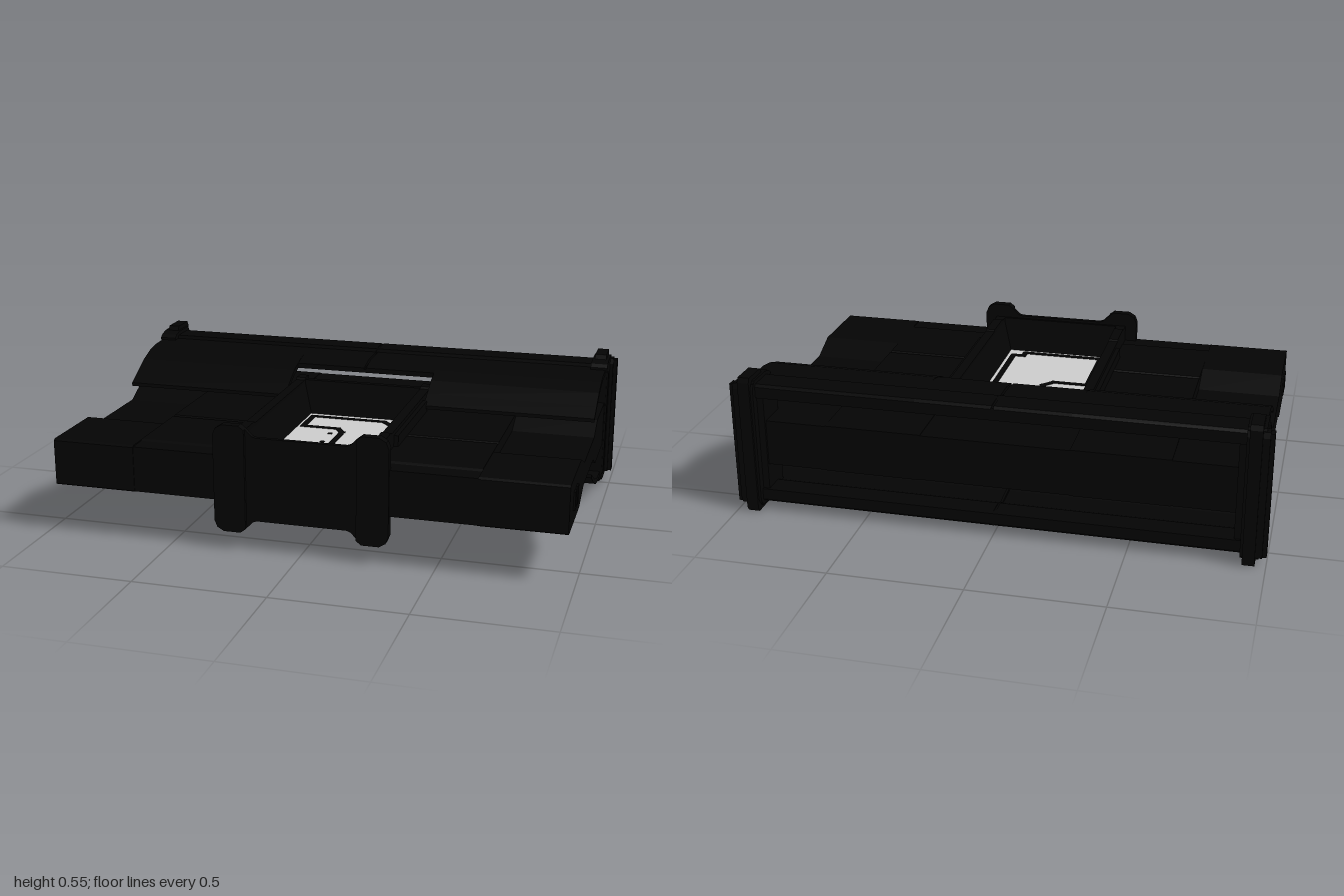
import * as THREE from 'three';

const MID = 0.275; // the model mirrors above and below this height

export function createModel() {
  const model = new THREE.Group();
  const black = new THREE.MeshStandardMaterial({ color: 0x040404, side: THREE.DoubleSide });
  black.name = 'black casing';
  const grey = new THREE.MeshStandardMaterial({ color: 0xcccccc });
  grey.name = 'light grey panel';

  const add = (name, geo, mat = black) => {
    const mesh = new THREE.Mesh(geo, mat);
    mesh.name = name;
    model.add(mesh);
    return mesh;
  };
  const box = (name, x0, x1, y0, y1, z0, z1, mat) =>
    add(name, new THREE.BoxGeometry(x1 - x0, y1 - y0, z1 - z0), mat)
      .position.set((x0 + x1) / 2, (y0 + y1) / 2, (z0 + z1) / 2);
  // Plate in the xy plane from an outline of [x, y] points
  const plate = (pts, depth) => new THREE.ExtrudeGeometry(
    new THREE.Shape(pts.map(p => new THREE.Vector2(...p))), { depth, bevelEnabled: false });
  // Prism along x from a profile of [z, y] points
  const prism = (name, pts, x0, x1) =>
    add(name, plate(pts, x1 - x0).rotateY(-Math.PI / 2)).position.x = x1;
  const same = pts => pts;
  const flip = pts => pts.map(([z, y]) => [z, 2 * MID - y]);
  const symmetric = half => [...half, ...flip(half).reverse()];
  // The same part on the left and right
  const sides = (a, b, make) => { make(a, b); make(-b, -a); };

  // Wings: thick front edge, waist, thick root running into the back
  const wing = symmetric([[0.615, 0.36], [0.605, 0.366], [0.32, 0.366], [0.21, 0.32], [-0.1, 0.32],
    [-0.19, 0.364], [-0.57, 0.364]]);
  const innerWing = symmetric([[0.612, 0.362], [0.535, 0.362], [0.525, 0.368], [0.225, 0.368],
    [0.215, 0.36], [0.205, 0.368], [-0.57, 0.366]]);
  sides(0.648, 0.968, (a, b) => prism('outerWing', wing, a, b));
  sides(0.28, 0.648, (a, b) => prism('innerWing', innerWing, a, b));
  sides(0.96, 0.975, (a, b) => {
    for (const z of [0.42, 0.48]) box('wingTipPin', a, b, 0.24, 0.31, z, z + 0.035);
  });

  // Central housing
  box('rearSlab', -0.28, 0.28, 0.186, 0.364, -0.57, -0.24);
  box('panelCore', -0.25, 0.25, MID - 0.012, MID + 0.012, -0.24, 0.58);
  const rail = symmetric([[0.618, 0.425], [0.535, 0.425], [0.53, 0.432], [0.4, 0.432], [0.395, 0.425],
    [-0.14, 0.425], [-0.22, 0.36]]);
  sides(0.245, 0.283, (a, b) => prism('housingRail', rail, a, b));
  sides(0.283, 0.3, (a, b) => box('railShoulder', a, b, 0.14, 0.41, -0.12, 0.36));
  // Back wall, clamps and sloped recess around the panel, above and below
  const clamp = [[-0.13, 0.425], [-0.23, 0.425], [-0.24, 0.433], [-0.285, 0.433], [-0.29, 0.428],
    [-0.29, 0.38], [-0.27, 0.37], [-0.13, 0.36]];
  const backWall = [[-0.24, 0.3], [-0.24, 0.425], [-0.265, 0.425], [-0.275, 0.36], [-0.275, 0.3]];
  for (const p of [same, flip]) {
    sides(0.245, 0.283, (a, b) => prism('housingClamp', p(clamp), a, b));
    prism('housingBackWall', p(backWall), -0.25, 0.25);
  }
  for (const s of [1, -1]) {
    const slope = new THREE.CylinderGeometry(1, 1, 1, 4, 1, true, Math.PI / 4).toNonIndexed();
    const pos = slope.attributes.position;
    for (let i = 0; i < pos.count; i++) {
      const outer = pos.getY(i) * s > 0;
      pos.setXYZ(i, Math.sign(pos.getX(i)) * (outer ? 0.248 : 0.21),
        MID + s * (outer ? 0.148 : 0.011),
        0.168 + Math.sign(pos.getZ(i)) * (outer ? 0.408 : 0.378));
    }
    slope.computeVertexNormals();
    add('panelRecess', slope);
  }
  // Front frame with four rounded lobes
  const half = [[0.17, 0.16], [0.185, 0.165], [0.21, 0.19], [0.23, 0.205], [0.295, 0.205],
    [0.32, 0.19], [0.33, 0.165]];
  const halfDown = half.map(([x, y]) => [x, -y]).reverse();
  const mirror = pts => pts.map(([x, y]) => [-x, y]);
  const frame = [...half, ...halfDown, ...mirror([...half, ...halfDown]).reverse()];
  add('frontFrame', plate(frame, 0.018)).position.set(0, MID, 0.587);
  const lobe = [...half.slice(2), ...halfDown.slice(0, -2)];
  for (const pts of [lobe, mirror(lobe)])
    add('frontLobe', plate(pts, 0.018)).position.set(0, MID, 0.602);
  box('frontBar', -0.25, 0.25, 0.125, 0.425, 0.576, 0.6);

  // Grey panels with black linework and two dots, on both faces
  const line = [[-0.19, -0.17], [0.11, -0.17], [0.185, -0.09], [0.185, 0.485], [0.14, 0.485],
    [0.14, 0.52], [-0.19, 0.52], [-0.19, 0.22], [-0.05, 0.22], [-0.015, 0.18], [-0.015, 0.015],
    [-0.045, -0.03], [-0.19, -0.03]];
  for (const s of [1, -1]) {
    const y = MID + s * 0.012, yLine = y + s * 0.003;
    box('greyPanel', -0.215, 0.21, y - 0.004, y + 0.004, -0.207, 0.545, grey);
    line.forEach(([x, z], i) => {
      const [x2, z2] = line[(i + 1) % line.length];
      const len = Math.hypot(x2 - x, z2 - z);
      const stroke = add('panelLine', new THREE.BoxGeometry(len + 0.02, 0.006, 0.023));
      stroke.position.set((x + x2) / 2, yLine, (z + z2) / 2);
      stroke.rotation.y = -Math.atan2(z2 - z, x2 - x);
    });
    for (const z of [0.04, 0.15])
      box('panelDot', -0.065, -0.048, yLine - 0.003, yLine + 0.003, z - 0.008, z + 0.008);
  }

  // Curved covers over the rear, notched around the housing
  const rim = [[-0.36, 0.499], [-0.475, 0.502], [-0.48, 0.515], [-0.58, 0.515], [-0.59, 0.505],
    [-0.59, 0.462], [-0.5, 0.462], [-0.46, 0.482], [-0.36, 0.479]];
  const cover = [[-0.1, 0.395], [-0.16, 0.427], [-0.23, 0.464], [-0.3, 0.488], ...rim,
    [-0.3, 0.466], [-0.23, 0.443], [-0.16, 0.408], [-0.1, 0.381]];
  const centreCover = [[-0.28, 0.482], ...rim, [-0.28, 0.462]];
  for (const p of [same, flip]) {
    sides(0.29, 0.965, (a, b) => prism('rearCover', p(cover), a, b));
    sides(0.004, 0.29, (a, b) => prism('centreCover', p(centreCover), a, b));
    prism('centreRim', p([[-0.48, 0.515], [-0.59, 0.51], [-0.59, 0.462], [-0.48, 0.468]]), -0.005, 0.005);
    prism('centreSeam', p([[-0.28, 0.476], [-0.48, 0.495], [-0.48, 0.478], [-0.28, 0.462]]), -0.005, 0.005);
  }

  // End caps with ridged columns
  const cap = symmetric([[-0.44, 0.51], [-0.455, 0.522], [-0.49, 0.53], [-0.59, 0.53], [-0.6, 0.51]]);
  const ridge = symmetric([[-0.5, 0.53], [-0.51, 0.548], [-0.61, 0.548], [-0.62, 0.53]]);
  const column = symmetric([[-0.555, 0.5], [-0.565, 0.52], [-0.6, 0.52], [-0.61, 0.5]]);
  sides(0.88, 0.91, (a, b) => box('endCapInner', a, b, 0.07, 0.48, -0.58, -0.45));
  sides(0.905, 0.972, (a, b) => prism('endCap', cap, a, b));
  sides(0.915, 0.96, (a, b) => prism('endCapRidge', ridge, a, b));
  sides(0.905, 0.985, (a, b) => prism('endColumn', column, a, b));
  sides(0.98, 1, (a, b) => box('endColumnEdge', a, b, 0.035, 0.515, -0.6, -0.565));
  sides(0.96, 0.978, (a, b) => box('endCapRib', a, b, 0.06, 0.49, -0.465, -0.445));

  return model;
}
